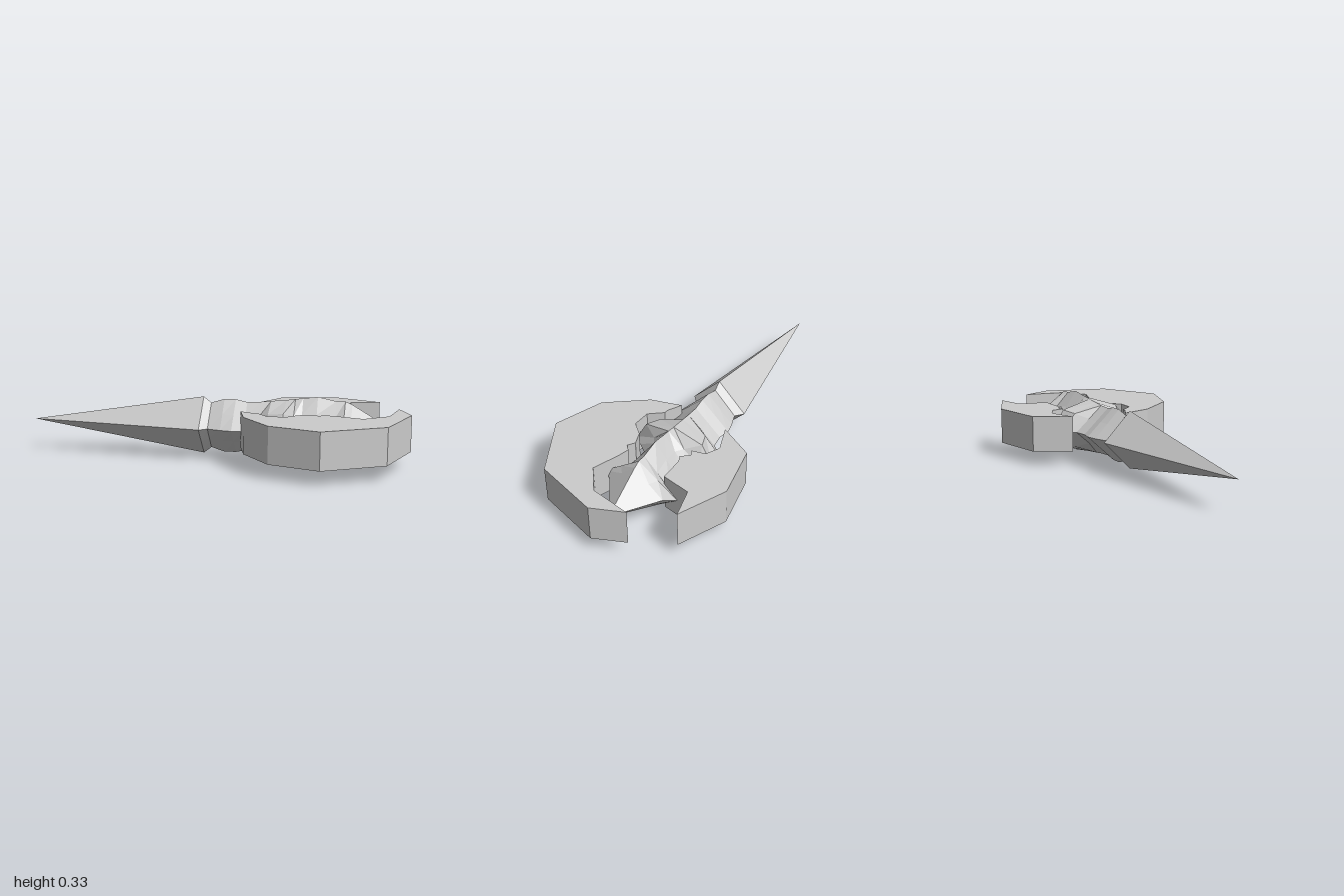
import * as THREE from 'three';

const steel = new THREE.MeshStandardMaterial({ color: 0xcccccc, flatShading: true });
steel.name = 'steel';

const MID_Y = 0.167, MID_Z = -0.066;

// Faceted shaft: a ridge and two side edges lofted along x.
// Section: [x, ridge height, edge reach, shoulder reach, shoulder height]
const SECTIONS = [
  [-1, 0, 0],
  [-0.07, 0.15, 0.15],
  [-0.03, 0.119, 0.115],
  [0.04, 0.14, 0.14],
  [0.1, 0.14, 0.153],
  [0.16, 0.127, 0.14],
  [0.23, 0.131, 0.15],
  [0.285, 0.137, 0.21, 0.13, 0.09],
  [0.365, 0.145, 0.217, 0.16, 0.1],
  [0.41, 0.151, 0.17],
  [0.45, 0.156, 0.12],
  [0.525, 0.166, 0.12],
  [0.62, 0.146, 0.14],
  [0.665, 0.147, 0.208],
  [0.7, 0.131, 0.15],
  [0.92, 0, 0],
];

function shaftGeometry() {
  const rings = SECTIONS.map(([x, h, w, sw = w / 2, sh = h / 2]) =>
    [[h, 0], [sh, sw], [0, w], [-sh, sw], [-h, 0], [-sh, -sw], [0, -w], [sh, -sw]]
      .map(([y, z]) => [x, MID_Y + y, MID_Z + z]));
  const pos = [];
  for (let i = 0; i < rings.length - 1; i++) {
    for (let j = 0; j < 8; j++) {
      const k = (j + 1) % 8;
      const a = rings[i][j], b = rings[i + 1][j], c = rings[i][k], d = rings[i + 1][k];
      if (i > 0) pos.push(...a, ...c, ...b);
      if (i < rings.length - 2) pos.push(...c, ...d, ...b);
      if (i === 0) continue;
    }
  }
  const geo = new THREE.BufferGeometry();
  geo.setAttribute('position', new THREE.Float32BufferAttribute(pos, 3));
  geo.computeVertexNormals();
  return geo;
}

// Thick crescent plate from an x,z outline
function crescent(name, outline) {
  const shape = new THREE.Shape(outline.map(([x, z]) => new THREE.Vector2(x, z)));
  const geo = new THREE.ExtrudeGeometry(shape, { depth: 0.187, bevelEnabled: false });
  geo.rotateX(Math.PI / 2);
  geo.translate(0, 0.262, 0);
  const mesh = new THREE.Mesh(geo, steel);
  mesh.name = name;
  return mesh;
}

export function createModel() {
  const model = new THREE.Group();
  model.name = 'spikedCrescentWeapon';

  const shaft = new THREE.Mesh(shaftGeometry(), steel);
  shaft.name = 'spikedShaft';
  model.add(shaft);

  // Large crescent, hooked round the short tip
  model.add(crescent('frontCrescent', [
    [1, -0.016], [0.935, -0.18], [0.89, 0.03], [0.765, 0.125], [0.63, 0.075],
    [0.57, 0.06], [0.545, 0.085], [0.51, 0.06], [0.44, 0.085], [0.385, 0.145],
    [0.29, 0.14], [0.235, 0.07], [0.215, 0.07], [0.14, 0.03], [0.18, 0.19],
    [0.33, 0.39], [0.585, 0.482], [0.89, 0.315],
  ]));

  // Smaller crescent behind the shaft
  model.add(crescent('backCrescent', [
    [0.83, -0.378], [0.585, -0.489], [0.3, -0.435], [0.195, -0.255], [0.335, -0.305],
    [0.405, -0.27], [0.42, -0.2], [0.45, -0.215], [0.485, -0.175], [0.52, -0.19],
    [0.645, -0.19], [0.68, -0.34],
  ]));

  return model;
}
